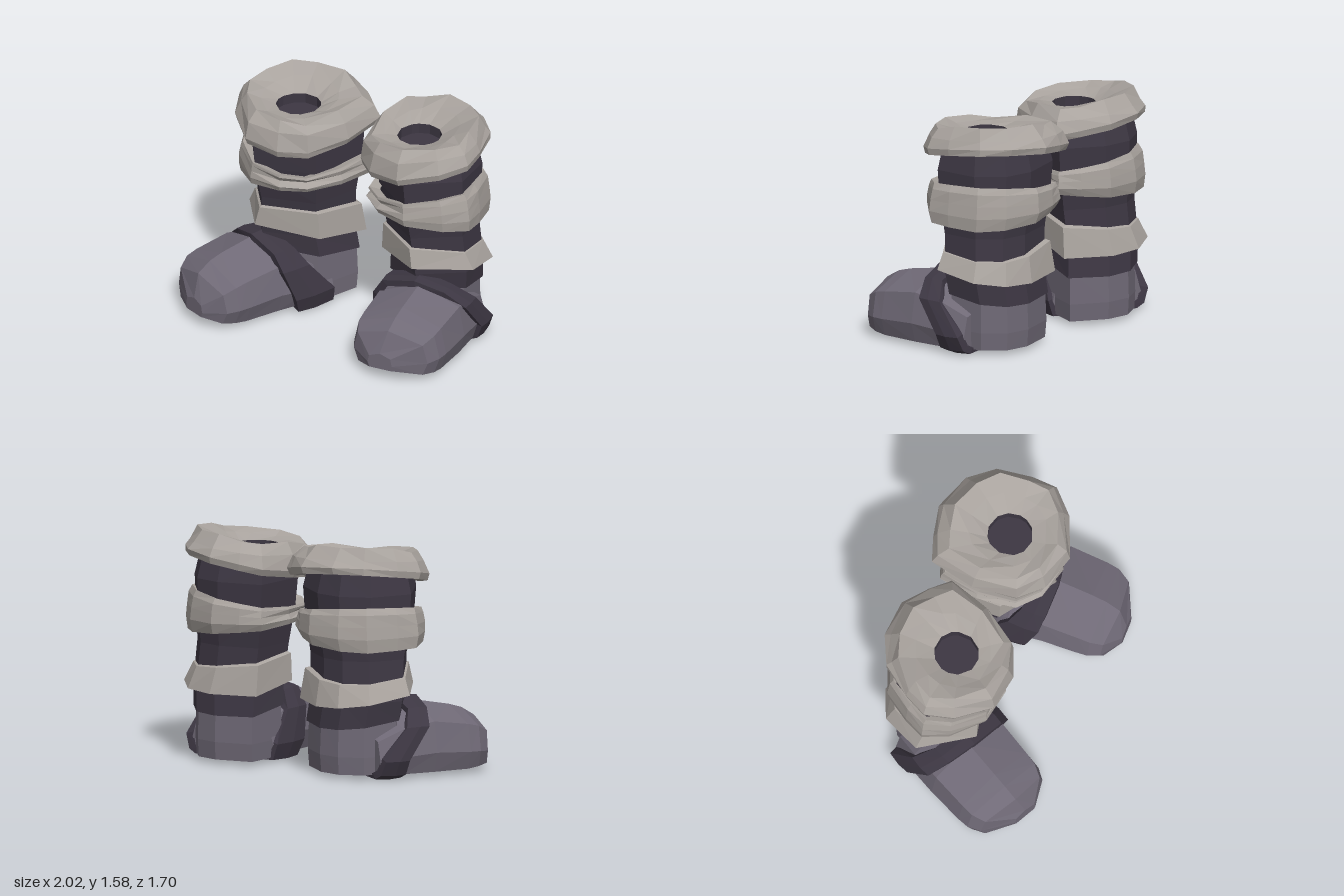
import * as THREE from 'three';

const mat = (name, color) => {
  const m = new THREE.MeshStandardMaterial({ color, flatShading: true, side: THREE.DoubleSide });
  m.name = name;
  return m;
};

// Seeded jitter so both boots share the same crumpled fur
function seeded(seed) {
  return () => {
    seed = (seed * 16807) % 2147483647;
    return seed / 2147483647 - 0.5;
  };
}

// Skin a list of equal-length closed rings; side = -1 mirrors across x
function loft(name, rings, material, side, capStart = false, capEnd = false) {
  const pos = [];
  const tri = (a, b, c) => {
    const t = side > 0 ? [a, b, c] : [a, c, b];
    t.forEach(p => pos.push(p[0] * side, p[1], p[2]));
  };
  const n = rings[0].length;
  for (let r = 0; r < rings.length - 1; r++) {
    for (let i = 0; i < n; i++) {
      const j = (i + 1) % n, A = rings[r], B = rings[r + 1];
      tri(A[i], A[j], B[j]);
      tri(A[i], B[j], B[i]);
    }
  }
  const cap = (ring, flip) => {
    const c = [0, 1, 2].map(k => ring.reduce((s, p) => s + p[k], 0) / n);
    for (let i = 0; i < n; i++) {
      const j = (i + 1) % n;
      if (flip) tri(c, ring[j], ring[i]);
      else tri(c, ring[i], ring[j]);
    }
  };
  if (capStart) cap(rings[0], true);
  if (capEnd) cap(rings[rings.length - 1], false);
  const g = new THREE.BufferGeometry();
  g.setAttribute('position', new THREE.Float32BufferAttribute(pos, 3));
  g.computeVertexNormals();
  const mesh = new THREE.Mesh(g, material);
  mesh.name = name;
  return mesh;
}

// Plan outlines (outer side +, front +), squarer at the inner back corner
const legPlan = [[0, 1], [1, 0.42], [1, -0.4], [0.6, -0.85], [0, -1], [-0.95, -0.84], [-1, 0.25]];
const furPlan = [[0, 1], [0.62, 0.78], [0.96, 0.47], [0.97, 0.1], [0.9, -0.42], [0.57, -0.77], [0, -1],
  [-0.5, -0.92], [-0.86, -0.8], [-0.99, -0.15], [-0.91, 0.5], [-0.57, 0.83]];
const roundPlan = furPlan.map(([u, v]) => [u / Math.hypot(u, v), v / Math.hypot(u, v)]);

// Horizontal ring over a plan; height and scale may vary with the plan position
function ring(plan, cx, cz, rx, rz, y, scale = () => 1) {
  return plan.map(([u, v]) => {
    const k = scale(u, v);
    return [cx + rx * k * u, typeof y === 'function' ? y(u, v) : y, cz + rz * k * v];
  });
}

// Upright foot section between x0 and x1, y0 and y1; bulge pushes its middle forward
const footProfile = [[0.88, 0], [1, 0.3], [0.88, 0.76], [0, 1], [-0.88, 0.74], [-1, 0.3], [-0.86, 0], [0, 0]];
function footSection([z, x0, x1, y0, y1, bulge = 0]) {
  return footProfile.map(([u, v]) =>
    [(x0 + x1) / 2 + u * (x1 - x0) / 2, y0 + v * (y1 - y0), z + bulge * (1 - u * u)]);
}

function makeBoot(name, side, mats) {
  const { fur, hide, dark } = mats;
  const boot = new THREE.Group();
  boot.name = name;
  const add = (...args) => boot.add(loft(...args));

  // Foot and toe, ending in a blunt faceted tip
  add('foot', [
    [-0.13, -0.22, 0.43, 0.03, 0.33],
    [0.05, -0.22, 0.46, 0.03, 0.43],
    [0.28, -0.2, 0.47, 0.03, 0.48],
    [0.54, -0.19, 0.46, 0.03, 0.43],
    [0.62, -0.185, 0.45, 0.04, 0.4, 0.02],
    [0.7, -0.15, 0.4, 0.05, 0.34, 0.04],
    [0.8, 0, 0.18, 0.075, 0.19],
  ].map(footSection), hide, side, true, true);

  // Heel
  add('heel', [
    ring(legPlan, 0.07, -0.09, 0.275, 0.3, 0.03),
    ring(legPlan, 0.07, -0.09, 0.28, 0.31, 0.15),
    ring(legPlan, 0.07, -0.09, 0.275, 0.3, 0.38),
  ], hide, side, true, true);

  // Strap slanting from the instep back under the sole
  const strapRows = [ // x, y, back z, front z
    [0.4, 0, -0.15, 0.04], [0.46, 0.03, -0.14, 0.05], [0.5, 0.13, -0.12, 0.06], [0.46, 0.35, 0.06, 0.23],
    [0.32, 0.46, 0.14, 0.28], [0.11, 0.515, 0.15, 0.31], [-0.14, 0.46, 0.13, 0.3],
    [-0.22, 0.34, 0.06, 0.28], [-0.26, 0.12, -0.12, 0.2], [-0.23, 0.01, -0.13, 0.16],
  ];
  const strapRing = (k, t) => strapRows.map(([x, y, back, front]) =>
    [0.12 + (x - 0.12) * k, 0.24 + (y - 0.24) * k, back + (front - back) * t]);
  add('strap', [strapRing(0.82, 0), strapRing(0.97, 0), strapRing(1, 0.55), strapRing(0.98, 1),
    strapRing(0.82, 1)], dark, side);

  // Shaft with the ankle collar at its foot
  add('shaft', [
    ring(legPlan, 0.07, -0.09, 0.295, 0.315, (s, c) => 0.37 + 0.04 * c),
    ring(legPlan, 0.085, -0.07, 0.295, 0.31, 0.52),
    ring(legPlan, 0.06, -0.05, 0.3, 0.315, 0.8),
    ring(legPlan, 0.05, -0.035, 0.325, 0.36, 1.05),
    ring(legPlan, 0.045, -0.03, 0.335, 0.375, 1.24),
    ring(legPlan, 0.04, -0.03, 0.31, 0.34, 1.38),
  ], dark, side, true, true);

  // Lower fur band, flared downwards
  const lowTop = (s, c) => 0.69 - 0.03 * s + 0.035 * c;
  const lowBottom = (s, c) => 0.535 + 0.005 * s + 0.055 * c;
  add('lowerFurBand', [
    ring(legPlan, 0.08, -0.06, 0.28, 0.3, (s, c) => lowBottom(s, c) + 0.03),
    ring(legPlan, 0.085, -0.07, 0.355, 0.37, lowBottom),
    ring(legPlan, 0.06, -0.06, 0.32, 0.34, lowTop),
    ring(legPlan, 0.06, -0.06, 0.28, 0.3, (s, c) => lowTop(s, c) + 0.015),
  ], fur, side);

  // Middle fur band, tall outside and pinched towards the inner front
  const rand = seeded(41);
  const wobble = amount => () => 1 + rand() * amount;
  const midTop = (s, c) => 1.115 + 0.05 * s - 0.02 * c;
  const midBottom = (s, c) => 0.912 - 0.04 * s + 0.02 * c;
  const mix = t => (s, c) => midBottom(s, c) * (1 - t) + midTop(s, c) * t;
  const pinch = (s, c) => 1 - 0.09 * Math.max(0, 0.62 * c - 0.78 * s) ** 2;
  add('middleFurBand', [
    ring(furPlan, 0.05, -0.04, 0.29, 0.31, mix(0.12)),
    ring(furPlan, 0.055, -0.05, 0.395, 0.4, midBottom),
    ring(furPlan, 0.05, -0.05, 0.405, 0.42, mix(0.3), wobble(0.03)),
    ring(furPlan, 0.05, -0.05, 0.4, 0.42, mix(0.58), pinch),
    ring(furPlan, 0.045, -0.05, 0.395, 0.41, mix(0.85), wobble(0.04)),
    ring(furPlan, 0.04, -0.045, 0.375, 0.395, midTop),
    ring(furPlan, 0.045, -0.04, 0.31, 0.33, (s, c) => midTop(s, c) - 0.02),
  ], fur, side);

  // Top fur cuff, lowest at the front, rolling inwards to the opening
  const cuffBottom = (s, c) => 1.32 + 0.06 * s - 0.06 * c;
  const crest = (s, c) => 1.52 + 0.03 * s - 0.04 * c + rand() * 0.04;
  add('furCuff', [
    ring(furPlan, 0.04, -0.04, 0.31, 0.34, (s, c) => cuffBottom(s, c) + 0.02),
    ring(furPlan, 0.035, -0.055, 0.415, 0.455, cuffBottom),
    ring(furPlan, 0.03, -0.055, 0.425, 0.47, (s, c) => cuffBottom(s, c) + 0.045, wobble(0.03)),
    ring(furPlan, 0.03, -0.05, 0.395, 0.435, (s, c) => 1.45 + 0.03 * s - 0.03 * c, wobble(0.05)),
    ring(furPlan, 0.03, -0.04, 0.34, 0.375, crest, wobble(0.06)),
    ring(roundPlan, 0.015, -0.02, 0.25, 0.27, (s, c) => 1.49 + 0.02 * s - 0.025 * c, wobble(0.05)),
    ring(roundPlan, 0, 0, 0.15, 0.155, 1.45),
  ], fur, side);

  // Dark lining inside the opening
  add('lining', [
    ring(roundPlan, 0, 0, 0.15, 0.155, 1.45),
    ring(roundPlan, 0, 0, 0.15, 0.155, 1.37),
  ], dark, side);

  return boot;
}

export function createModel() {
  const mats = {
    fur: mat('grey fur', 0xa9a39e),
    hide: mat('mauve hide', 0x6f6976),
    dark: mat('dark leather', 0x3d3743),
  };
  const model = new THREE.Group();
  model.name = 'furBoots';

  const right = makeBoot('rightBoot', -1, mats);
  right.position.set(-0.5, 0, 0.04);

  // The left boot is turned outwards
  const left = makeBoot('leftBoot', 1, mats);
  left.position.set(0.33, 0, -0.36);
  left.rotation.y = THREE.MathUtils.degToRad(28);

  model.add(right, left);
  return model;
}
